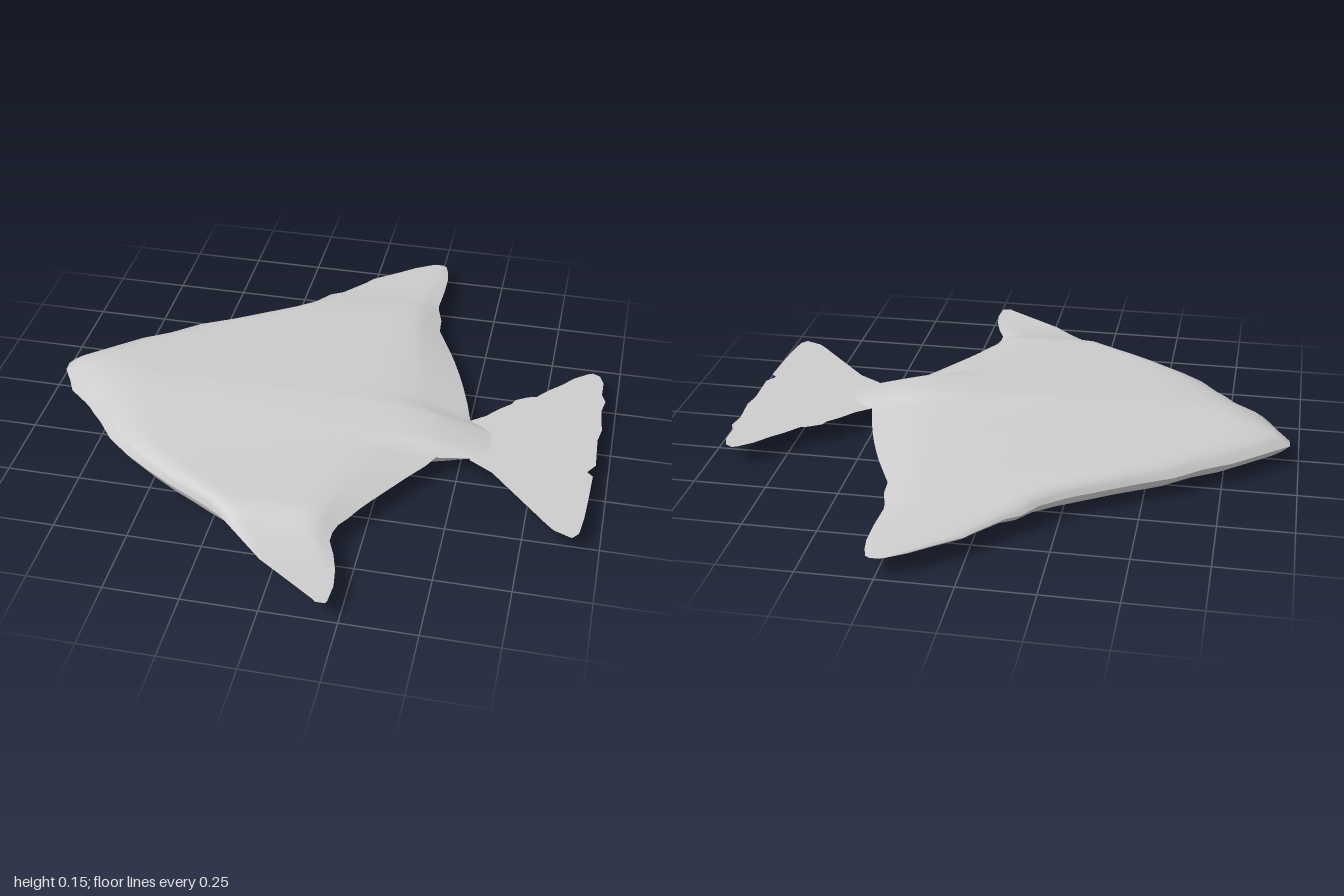
import * as THREE from 'three';

const MID = 0.075; // height of the rim plane

// Body outline as rows across its length: [z, left edge x, right edge x]
const rows = [
  [-1, 0.23, 0.26], [-0.99, 0.21, 0.275], [-0.95, 0.15, 0.287], [-0.9, 0.09, 0.295],
  [-0.83, 0, 0.295], [-0.8, -0.02, 0.295], [-0.7, -0.1, 0.29], [-0.67, -0.145, 0.295],
  [-0.6, -0.19, 0.315], [-0.53, -0.275, 0.32], [-0.4, -0.485, 0.38], [-0.34, -0.595, 0.405],
  [-0.26, -0.69, 0.435], [-0.2, -0.785, 0.455], [-0.1, -0.9, 0.485], [-0.04, -0.968, 0.5],
  [0, -0.965, 0.51], [0.03, -0.948, 0.56], [0.06, -0.93, 0.59], [0.12, -0.9, 0.6],
  [0.18, -0.83, 0.585], [0.21, -0.8, 0.54], [0.23, -0.785, 0.425], [0.28, -0.74, 0.4],
  [0.36, -0.68, 0.345], [0.43, -0.6, 0.3], [0.5, -0.5, 0.255], [0.55, -0.42, 0.225],
  [0.6, -0.33, 0.2], [0.64, -0.26, 0.175], [0.68, -0.2, 0.165], [0.72, -0.16, 0.165],
  [0.78, -0.1, 0.19], [0.85, -0.03, 0.21], [0.92, 0.07, 0.22], [0.99, 0.17, 0.215], [1, 0.18, 0.21],
];

// Half thickness along z, swelling in the middle and thinning into the fins
const thickness = [
  [-1, 0], [-0.95, 0.007], [-0.72, 0.02], [-0.58, 0.043], [-0.25, 0.06], [0.07, 0.075],
  [0.4, 0.053], [0.64, 0.043], [0.7, 0.02], [0.83, 0], [1, 0],
];

// Relative thickness across a row, from left edge to right edge
const across = [
  [0, 0], [0.02, 0.35], [0.04, 0.6], [0.08, 0.82], [0.13, 0.97], [0.2, 1], [0.45, 1],
  [0.73, 0.97], [0.8, 0.88], [0.854, 0.78], [0.89, 0.6], [0.94, 0.34], [1, 0],
];

const tailOutline = [
  [0.51, 0], [0.56, -0.04], [0.6, -0.09], [0.64, -0.13], [0.65, -0.155], [0.69, -0.18], [0.72, -0.19],
  [0.76, -0.24], [0.8, -0.28], [0.84, -0.33], [0.89, -0.37], [0.905, -0.375], [0.93, -0.36],
  [0.945, -0.32], [0.945, -0.25], [0.96, -0.21], [0.95, -0.15], [0.96, -0.04], [0.95, 0.02],
  [0.955, 0.16], [0.93, 0.2], [0.95, 0.22], [0.945, 0.35], [0.94, 0.44], [0.93, 0.52], [0.91, 0.545],
  [0.85, 0.52], [0.82, 0.49], [0.72, 0.38], [0.62, 0.27], [0.54, 0.22], [0.5, 0.12],
];

function sample(table, t) {
  for (let i = 1; i < table.length; i++) {
    const [a, va] = table[i - 1], [b, vb] = table[i];
    if (t <= b) return va + (vb - va) * (t - a) / (b - a);
  }
  return table[table.length - 1][1];
}

// One half of the body: side +1 is the upper skin, -1 the lower
function bodyHalf(side) {
  const positions = [], indices = [], n = across.length;
  for (const [z, left, right] of rows) {
    const h = sample(thickness, z);
    for (const [u, k] of across) positions.push(left + (right - left) * u, MID + side * h * k, z);
  }
  for (let i = 0; i < rows.length - 1; i++) {
    for (let j = 0; j < n - 1; j++) {
      const a = i * n + j, b = a + n, c = b + 1, d = a + 1;
      if (side > 0) indices.push(a, b, d, b, c, d);
      else indices.push(a, d, b, b, d, c);
    }
  }
  const geometry = new THREE.BufferGeometry();
  geometry.setAttribute('position', new THREE.Float32BufferAttribute(positions, 3));
  geometry.setIndex(indices);
  geometry.computeVertexNormals();
  return geometry;
}

export function createModel() {
  const group = new THREE.Group();
  group.name = 'fish';
  const grey = new THREE.MeshStandardMaterial({ color: 0xcccccc, side: THREE.DoubleSide });
  grey.name = 'light grey';

  const add = (name, geometry) => {
    const mesh = new THREE.Mesh(geometry, grey);
    mesh.name = name;
    group.add(mesh);
    return mesh;
  };

  // Swollen body with its two pointed fins
  add('upperBody', bodyHalf(1));
  add('lowerBody', bodyHalf(-1));

  // Paper-thin tail fin lying in the rim plane
  const shape = new THREE.Shape(tailOutline.map(([x, z]) => new THREE.Vector2(x, -z)));
  add('tailFin', new THREE.ShapeGeometry(shape).rotateX(-Math.PI / 2).translate(0, MID, 0));

  return group;
}
